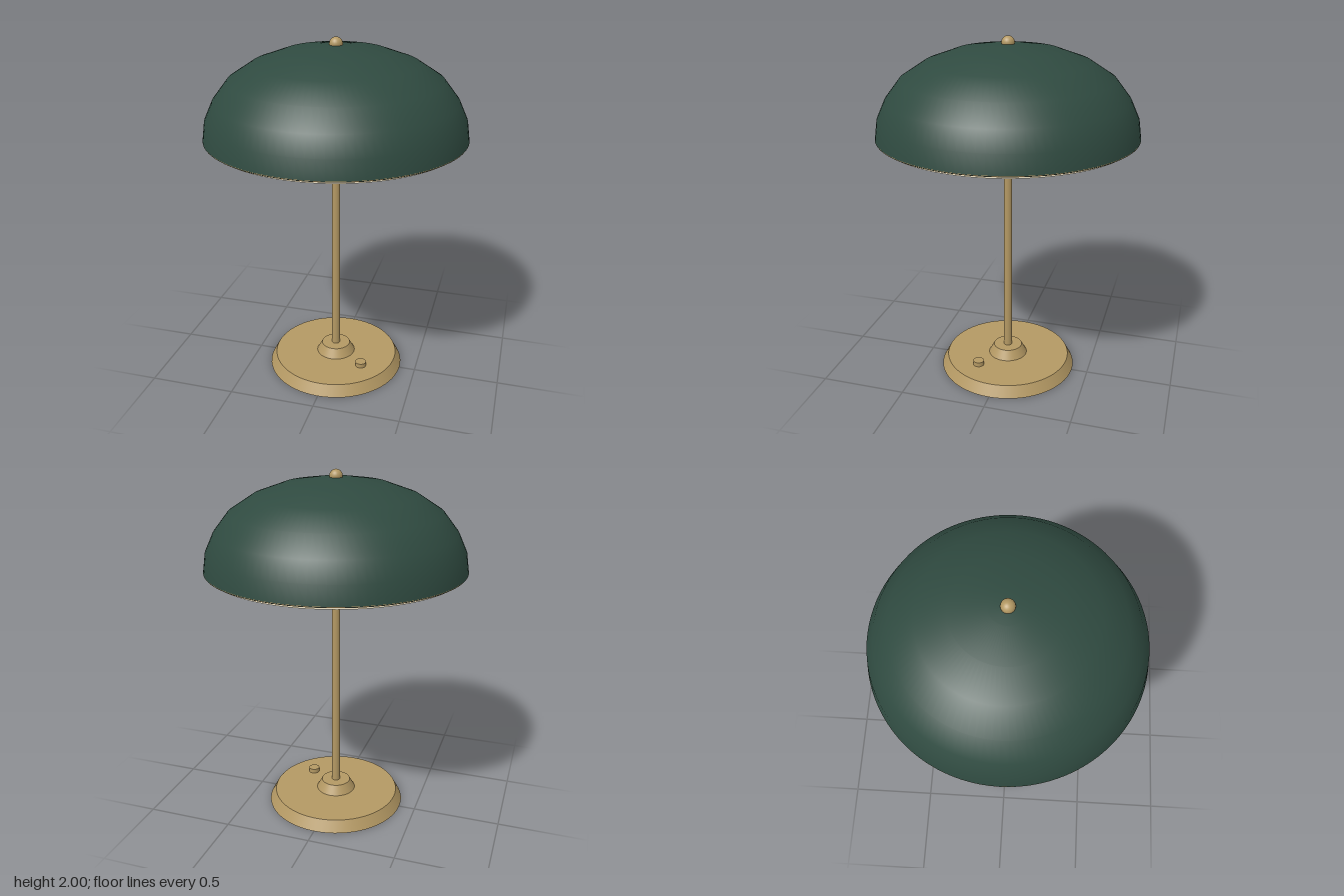
import * as THREE from 'three';

const brass = new THREE.MeshStandardMaterial({ color: 0xb39863 });
const green = new THREE.MeshStandardMaterial({ color: 0x2f4a40, side: THREE.DoubleSide });
const cream = new THREE.MeshStandardMaterial({ color: 0xf3e6c8 });

export function createModel() {
  const lamp = new THREE.Group();
  const add = (name, geometry, material, x, y, z) => {
    const mesh = new THREE.Mesh(geometry, material);
    mesh.name = name;
    mesh.position.set(x, y, z);
    lamp.add(mesh);
    return mesh;
  };
  // Upright round part standing between two heights
  const round = (name, rTop, rBottom, y0, y1, material = brass, x = 0, z = 0, sides = 64) =>
    add(name, new THREE.CylinderGeometry(rTop, rBottom, y1 - y0, sides), material, x, (y0 + y1) / 2, z);

  // Foot, collar, switch and stem
  round('base', 0.37, 0.405, 0, 0.065);
  round('collar', 0.085, 0.115, 0.065, 0.12);
  round('switchKnob', 0.032, 0.032, 0.065, 0.092, brass, 0.19, 0.13, 24);
  round('stem', 0.024, 0.024, 0.1, 1.95, brass, 0, 0, 24);

  // Domed shade, open underneath
  const profile = [
    [0.727, 1.465], [0.712, 1.57], [0.665, 1.672], [0.582, 1.779],
    [0.448, 1.866], [0.282, 1.926], [0.095, 1.956], [0, 1.958],
  ].map(([r, y]) => new THREE.Vector2(r, y));
  add('shade', new THREE.LatheGeometry(profile, 96), green, 0, 0, 0);

  // Trim around the mouth of the shade
  const trim = add('shadeTrim', new THREE.TorusGeometry(0.72, 0.007, 8, 96), brass, 0, 1.467, 0);
  trim.rotation.x = Math.PI / 2;

  // Light diffuser closing the shade
  round('diffuser', 0.697, 0.697, 1.445, 1.475, cream, 0, 0, 96);

  // Finial on top
  add('finial', new THREE.SphereGeometry(0.036, 24, 16), brass, 0, 1.964, 0);
  return lamp;
}
